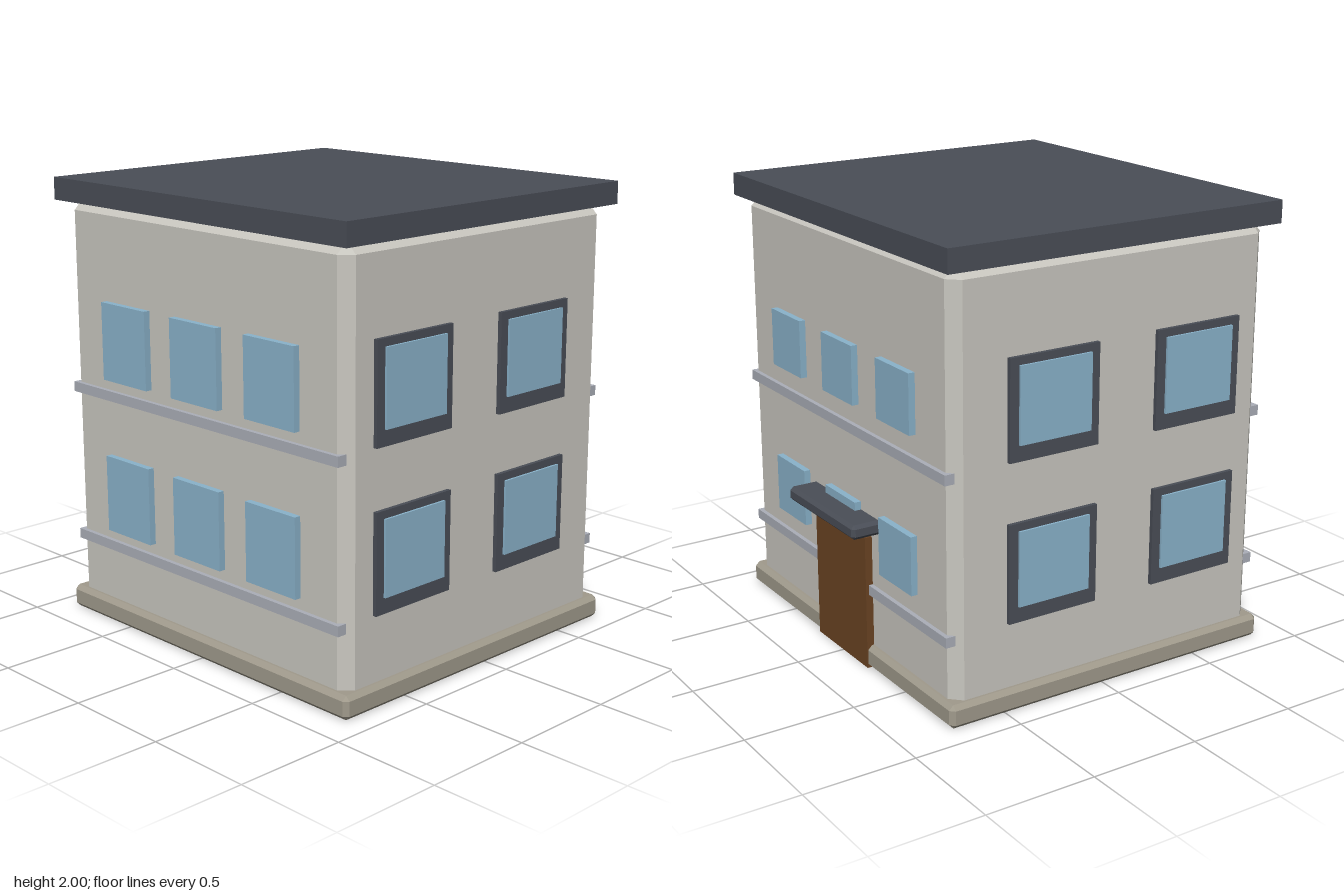
import * as THREE from 'three';
import { ConvexGeometry } from 'three/addons/geometries/ConvexGeometry.js';

const material = (name, color) => {
  const m = new THREE.MeshStandardMaterial({ color });
  m.name = name;
  return m;
};

export function createModel() {
  const wall = material('wall plaster', 0xc9c7c0);
  const stone = material('plinth stone', 0xa09a8c);
  const slate = material('dark slate', 0x4a4e57);
  const glass = material('window glass', 0x8ab3cb);
  const trim = material('grey trim', 0xabafb8);
  const wood = material('door wood', 0x6b4423);

  const building = new THREE.Group();
  building.name = 'building';

  const add = (name, geometry, mat) => {
    const mesh = new THREE.Mesh(geometry, mat);
    mesh.name = name;
    building.add(mesh);
    return mesh;
  };

  // Plain box given by its extents on each axis
  const box = (name, mat, [x0, x1], [y0, y1], [z0, z1]) =>
    add(name, new THREE.BoxGeometry(x1 - x0, y1 - y0, z1 - z0), mat)
      .position.set((x0 + x1) / 2, (y0 + y1) / 2, (z0 + z1) / 2);

  // Box with every edge cut at 45 degrees by c
  const chamferBox = (name, mat, [x0, x1], [y0, y1], [z0, z1], c) => {
    const hx = (x1 - x0) / 2, hy = (y1 - y0) / 2, hz = (z1 - z0) / 2;
    const points = [];
    for (const sx of [-1, 1]) for (const sy of [-1, 1]) for (const sz of [-1, 1]) {
      points.push(
        new THREE.Vector3(sx * hx, sy * (hy - c), sz * (hz - c)),
        new THREE.Vector3(sx * (hx - c), sy * hy, sz * (hz - c)),
        new THREE.Vector3(sx * (hx - c), sy * (hy - c), sz * hz));
    }
    add(name, new ConvexGeometry(points), mat)
      .position.set((x0 + x1) / 2, (y0 + y1) / 2, (z0 + z1) / 2);
  };

  // Main masses
  chamferBox('walls', wall, [-0.87, 0.87], [0.02, 1.91], [-0.74, 0.83], 0.05);
  chamferBox('plinth', stone, [-0.9, 0.9], [0, 0.105], [-0.77, 0.86], 0.02);
  box('roofSlab', slate, [-0.91, 0.91], [1.9, 2], [-0.78, 0.87]);

  // Two storeys of windows and string courses
  for (const y of [0, 0.695]) {
    box('frontBand', trim, [-0.845, 0.845], [0.345 + y, 0.39 + y], [0.8, 0.85]);
    box('backBand', trim, [-0.845, 0.845], [0.345 + y, 0.39 + y], [-0.76, -0.71]);

    for (const x of [-0.463, 0, 0.463]) {
      box('frontWindow', glass, [x - 0.148, x + 0.148], [0.44 + y, 0.787 + y], [0.8, 0.86]);
      box('backWindow', glass, [x - 0.132, x + 0.132], [0.482 + y, 0.742 + y], [-0.77, -0.71]);
    }

    // Framed windows on both sides
    for (const s of [-1, 1]) for (const z of [0.463, -0.267]) {
      const span = (a, b) => (s > 0 ? [a, b] : [-b, -a]);
      box('sideWindowFrame', slate, span(0.84, 0.888), [0.395 + y, 0.829 + y], [z - 0.217, z + 0.217]);
      box('sideWindow', glass, span(0.85, 0.898), [0.465 + y, 0.795 + y], [z - 0.174, z + 0.174]);
    }
  }

  // Back entrance
  box('door', wood, [-0.22, 0.22], [0.001, 0.61], [-0.774, -0.71]);
  chamferBox('doorCanopy', slate, [-0.29, 0.29], [0.64, 0.705], [-0.87, -0.71], 0.015);

  return building;
}
